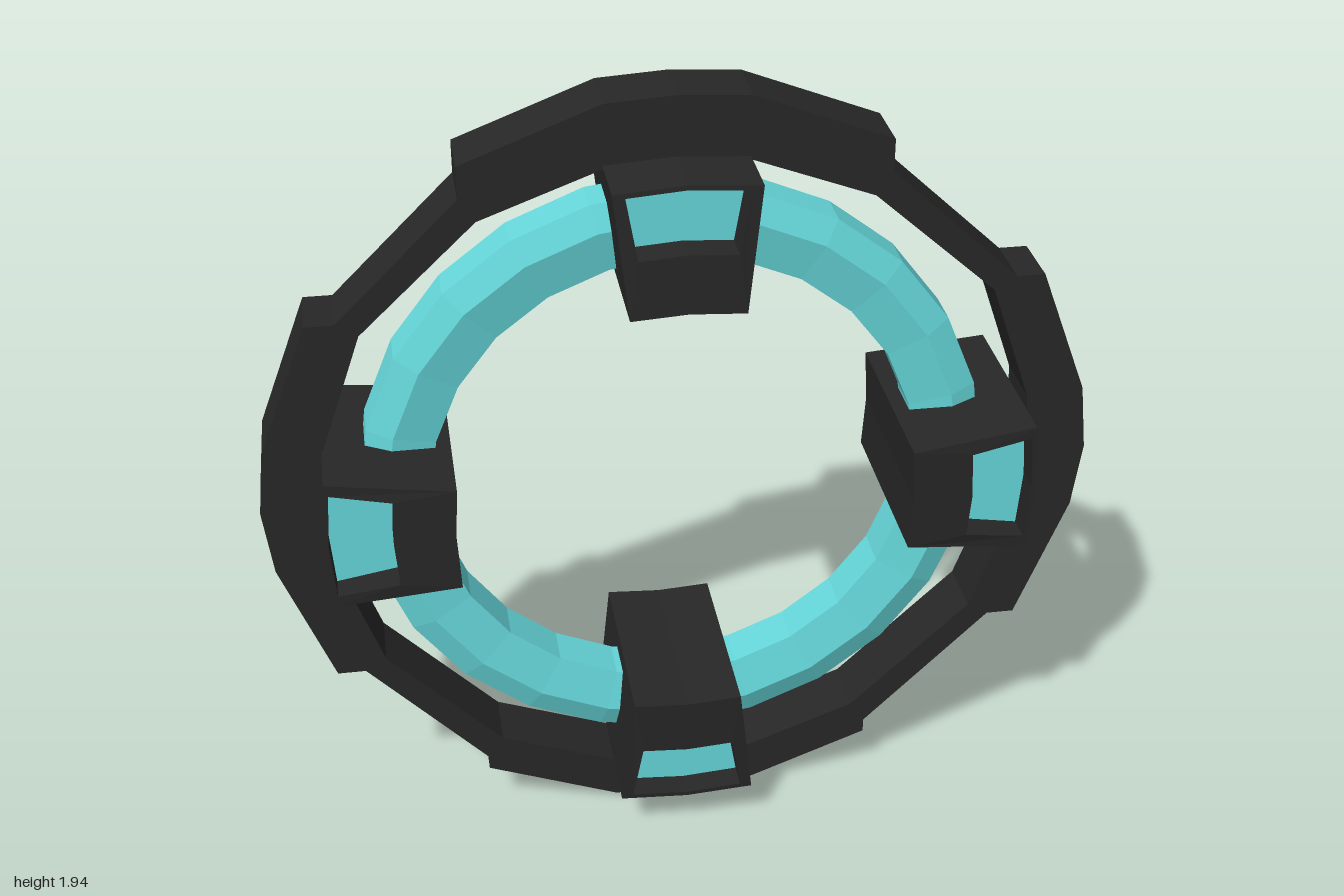
import * as THREE from 'three';

const dark = new THREE.MeshStandardMaterial({ color: 0x272727, flatShading: true });
const teal = new THREE.MeshStandardMaterial({ color: 0x66d8db, flatShading: true });

const toVectors = (pts) => pts.map(([x, y]) => new THREE.Vector2(x, y));
// Adds the mirrored right half to a left-half profile that ends on the axis
const mirror = (half) => [...half, ...half.slice(0, -1).reverse().map(([x, y]) => [-x, y])];

// Extrudes a clockwise outline symmetrically about z = 0;
// the hole is given clockwise too and reversed so its walls face inwards
function slab(outline, hole, halfDepth) {
  const shape = new THREE.Shape(toVectors(outline));
  if (hole) shape.holes.push(new THREE.Path(toVectors(hole).reverse()));
  const geo = new THREE.ExtrudeGeometry(shape, { depth: halfDepth * 2, bevelEnabled: false });
  geo.translate(0, 0, -halfDepth);
  return geo;
}

function addMesh(parent, geo, mat, name) {
  const mesh = new THREE.Mesh(geo, mat);
  mesh.name = name;
  parent.add(mesh);
  return mesh;
}

// Outer ring: four thick blocks joined by thin diagonal bars
function outerRing() {
  // profiles across each block: [sideways, outwards]; bar = where the thin bar meets it
  const side = {
    bar: [0.481, 0.79],
    outer: [[-0.481, 0.858], [-0.165, 0.98], [0, 1]],
    inner: [[-0.449, 0.738], [-0.155, 0.842], [0, 0.848]],
    outerShift: [0, 0], innerShift: [0, 0],
  };
  const top = {
    bar: [0.49, 0.778],
    outer: [[-0.49, 0.835], [-0.165, 0.96], [0, 0.97]],
    inner: [[-0.452, 0.722], [-0.165, 0.829], [0, 0.838]],
    outerShift: [-0.01, 0.01], innerShift: [-0.01, -0.011],
  };
  const outer = [], inner = [];
  for (let i = 0; i < 4; i++) {
    const a = -i * Math.PI / 2, c = Math.cos(a), s = Math.sin(a);
    const { bar: [bx, by], ...block } = i % 2 ? side : top;
    const place = ([dx, dy]) => ([x, y]) => [x * c - y * s + dx, x * s + y * c + dy];
    const placeOuter = place(block.outerShift), placeInner = place(block.innerShift);
    outer.push(placeInner([-bx, by]), ...mirror(block.outer).map(placeOuter), placeInner([bx, by]));
    inner.push(...mirror(block.inner).map(placeInner));
  }
  return slab(outer, inner, 0.076);
}

// Clamp: tapered wedge with a window in the front and back, pointing along +y
function clamp() {
  const group = new THREE.Group();
  const body = slab(
    [...mirror([[-0.166, 0.832], [0, 0.843]]), ...mirror([[0.132, 0.533], [0, 0.541]])],
    [...mirror([[-0.137, 0.822], [0, 0.832]]), ...mirror([[0.112, 0.676], [0, 0.684]])],
    0.249);
  // the front and back faces slope in towards the rim
  const p = body.attributes.position;
  for (let i = 0; i < p.count; i++) {
    const t = THREE.MathUtils.clamp((p.getY(i) - 0.64) / 0.2, 0, 1);
    p.setZ(i, p.getZ(i) * (1 - 0.065 * t));
  }
  body.computeVertexNormals();
  addMesh(group, body, dark, 'clampBody');
  // coloured core, set back inside the windows
  const core = slab(
    [...mirror([[-0.14, 0.825], [0, 0.835]]), ...mirror([[0.118, 0.665], [0, 0.673]])],
    null, 0.17);
  addMesh(group, core, teal, 'clampWindow');
  return group;
}

export function createModel() {
  const model = new THREE.Group();
  model.name = 'ringDevice';

  addMesh(model, outerRing(), dark, 'outerRing').position.y = 0.965;

  const core = new THREE.Group();
  core.name = 'innerAssembly';
  core.position.set(-0.013, 0.959, 0);
  model.add(core);

  // Inner ring: six-sided section with a shallow ridge on the front and back
  const section = [
    [0.753, -0.05], [0.753, 0.05], [0.69, 0.075],
    [0.587, 0.055], [0.587, -0.055], [0.69, -0.075], [0.753, -0.05],
  ];
  const ring = new THREE.LatheGeometry(toVectors(section), 24);
  ring.rotateX(Math.PI / 2);
  addMesh(core, ring, teal, 'innerRing');

  ['topClamp', 'rightClamp', 'bottomClamp', 'leftClamp'].forEach((name, i) => {
    const c = clamp();
    // quarter turns run anticlockwise from the top, so +x comes last
    c.name = name;
    c.rotation.z = i * Math.PI / 2;
    core.add(c);
  });
  return model;
}
